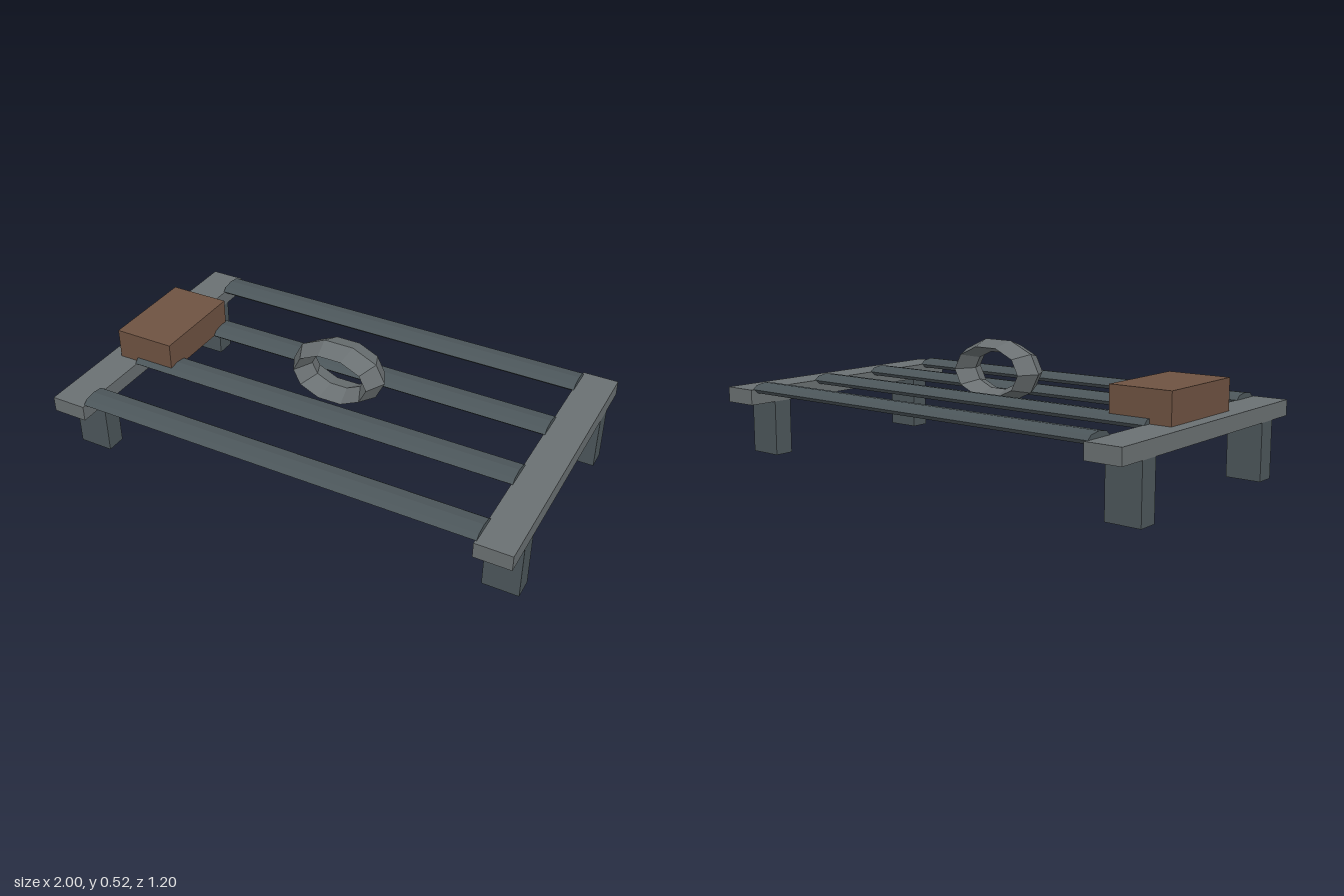
import * as THREE from 'three';

const material = (color) => new THREE.MeshStandardMaterial({ color, flatShading: true });

export function createModel() {
  const model = new THREE.Group();
  const lightMetal = material(0x6a7072);
  const darkMetal = material(0x4c565a);
  const wood = material(0x6e5241);

  const add = (name, geometry, mat, x, y, z) => {
    const mesh = new THREE.Mesh(geometry, mat);
    mesh.name = name;
    mesh.position.set(x, y, z);
    model.add(mesh);
    return mesh;
  };

  // End rails, each on two legs
  for (const side of [-1, 1]) {
    const label = side > 0 ? 'left' : 'right';
    add(label + 'Rail', new THREE.BoxGeometry(0.15, 0.065, 1.2), lightMetal, side * 0.925, 0.2675, 0);
    for (const end of [-1, 1]) {
      add(label + (end > 0 ? 'FrontLeg' : 'BackLeg'),
        new THREE.BoxGeometry(0.148, 0.275, 0.084), darkMetal, side * 0.925, 0.1375, end * 0.432);
    }
  }

  // Flattened eight-sided bars between the rails
  const barGeometry = new THREE.CylinderGeometry(0.066, 0.066, 1.712, 8);
  barGeometry.rotateZ(Math.PI / 2);
  barGeometry.scale(1, 0.024 / 0.066, 1);
  [-0.519, -0.173, 0.173, 0.519].forEach((z, i) => {
    add('crossBar' + (i + 1), barGeometry, darkMetal, 0, 0.3, z);
  });

  // Faceted oval ring with a diamond section
  const ringGeometry = new THREE.TorusGeometry(0.166, 0.043, 4, 10);
  ringGeometry.scale(1, 0.64, 1.93);
  add('ring', ringGeometry, lightMetal, 0, 0.395, 0);

  // Wooden block resting on the right rail
  add('woodenBlock', new THREE.BoxGeometry(0.262, 0.13, 0.42), wood, -0.814, 0.363, 0.007);

  return model;
}
